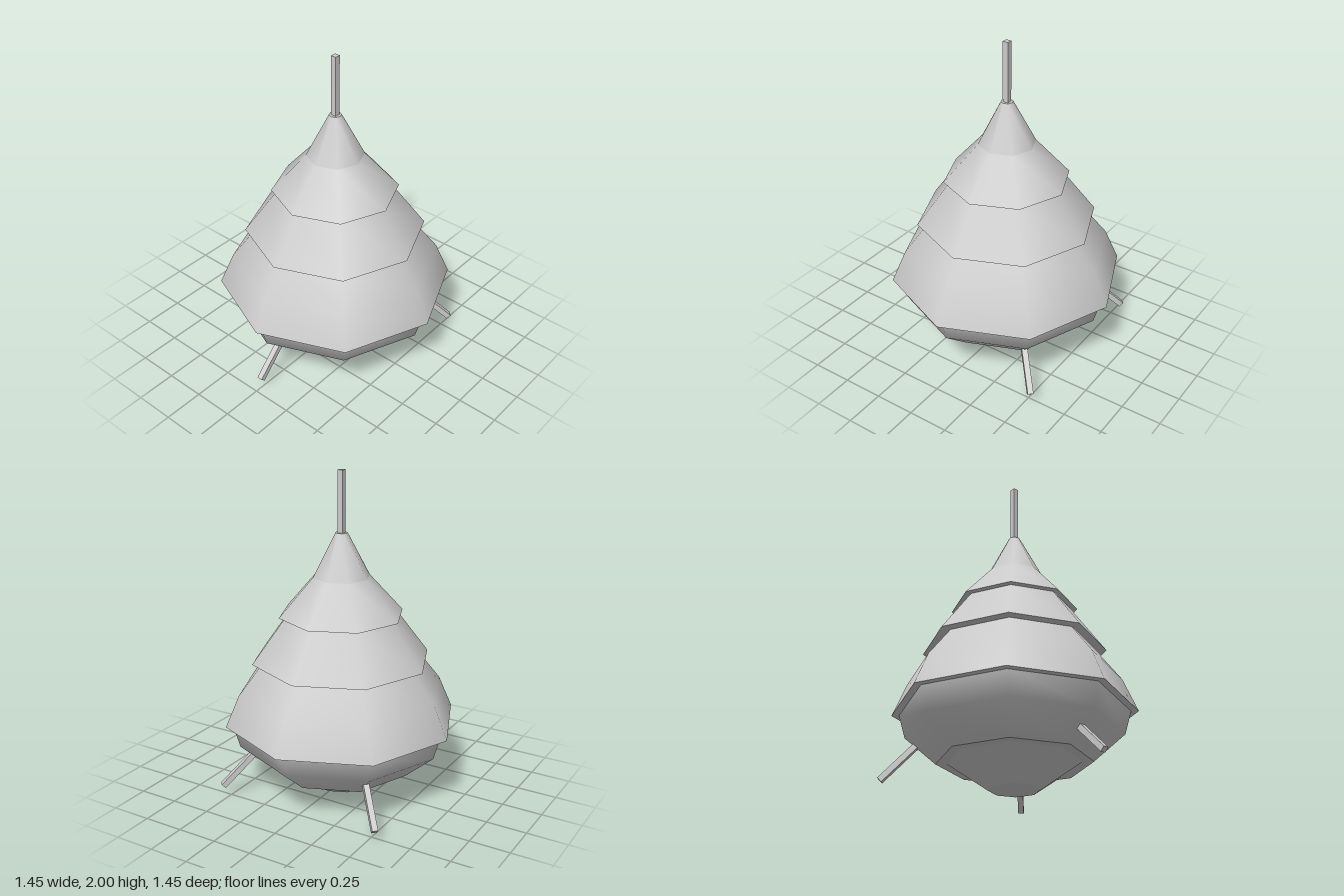
import * as THREE from 'three';

const SIDES = 8;
const material = new THREE.MeshStandardMaterial({ color: 0xcccccc, side: THREE.DoubleSide });

// Smooth eight-sided shell from [radius, height] pairs, listed bottom to top
function shell(name, profile) {
  const points = profile.map(([r, y]) => new THREE.Vector2(r, y));
  const mesh = new THREE.Mesh(new THREE.LatheGeometry(points, SIDES), material);
  mesh.name = name;
  return mesh;
}

// Square rod of the given length along y
function rod(name, length) {
  const mesh = new THREE.Mesh(new THREE.BoxGeometry(0.035, length, 0.035), material);
  mesh.name = name;
  return mesh;
}

// Leg sloping down and out at 45 degrees, its tip at the given radius
function leg(name, heading, tipRadius) {
  const length = 0.4;
  const tipHeight = 0.07;
  const offset = (length / 2) * Math.SQRT1_2;
  const group = new THREE.Group();
  group.name = name;
  const bar = rod(name + 'Bar', length);
  bar.rotation.x = -Math.PI / 4;
  bar.position.set(0, tipHeight + offset, tipRadius - offset);
  group.add(bar);
  group.rotation.y = heading;
  return group;
}

export function createModel() {
  const model = new THREE.Group();
  model.name = 'tieredCone';

  // Stacked sections; each starts with a sharp rim overhanging the one below
  const sections = [
    ['base', [[0.15, 0], [0.39, 0.16]]],
    ['bowl', [[0.455, 0.16], [0.64, 0.32], [0.68, 0.46]]],
    ['lowerTier', [[0.725, 0.46], [0.638, 0.66], [0.49, 0.85]]],
    ['middleTier', [[0.553, 0.85], [0.345, 1.13]]],
    ['upperTier', [[0.385, 1.13], [0.175, 1.365]]],
    ['peak', [[0.175, 1.365], [0.037, 1.63]]],
  ];
  let innerRadius = 0;
  for (const [name, profile] of sections) {
    model.add(shell(name, profile));
    // Flat underside joining this rim to the section below
    const [rimRadius, rimHeight] = profile[0];
    if (rimRadius > innerRadius) {
      model.add(shell(name + 'Underside', [[innerRadius, rimHeight], [rimRadius, rimHeight]]));
    }
    innerRadius = profile[profile.length - 1][0];
  }
  model.add(shell('peakCap', [[0.037, 1.63], [0, 1.63]]));

  // Mast on the peak
  const mast = rod('mast', 0.4);
  mast.position.y = 1.8;
  model.add(mast);

  // Three splayed legs
  model.add(leg('frontLeg', 0, 0.705));
  model.add(leg('backLeftLeg', Math.PI * 0.75, 0.755));
  model.add(leg('backRightLeg', -Math.PI * 0.75, 0.772));

  return model;
}
